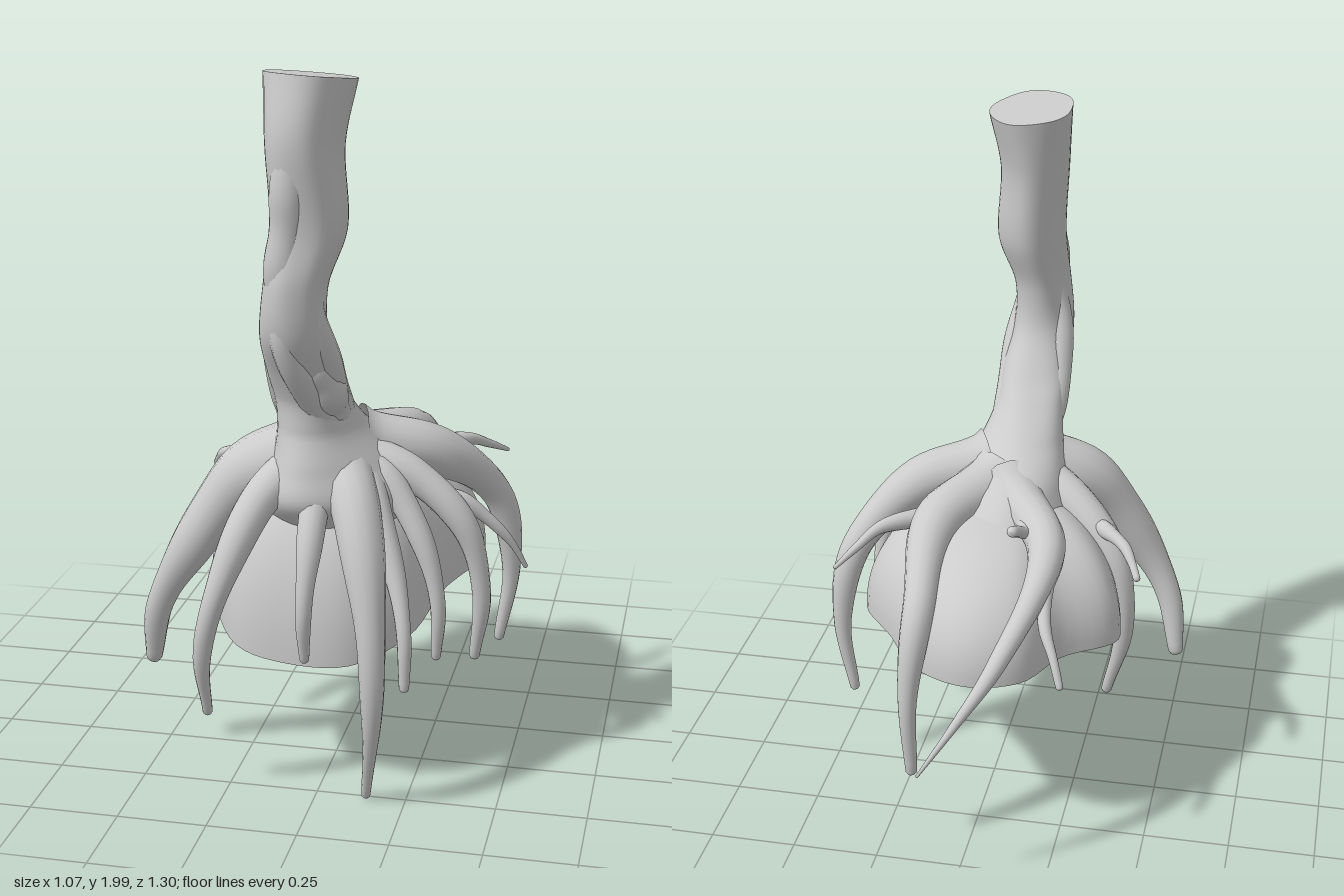
import * as THREE from 'three';

const V = (x, y, z) => new THREE.Vector3(x, y, z);
const material = new THREE.MeshStandardMaterial({ color: 0xcccccc, side: THREE.DoubleSide });

function group(name, ...children) {
  const g = new THREE.Group();
  g.name = name;
  g.add(...children);
  return g;
}

// A ring of n points, each given by its angle.
const ringOf = (n, fn) => Array.from({ length: n }, (_, j) => fn((j / n) * Math.PI * 2));

// Skin a list of closed rings (equal vertex counts) into one smooth surface.
function loft(name, rings) {
  const n = rings[0].length, idx = [];
  for (let i = 0; i < rings.length - 1; i++) {
    for (let j = 0; j < n; j++) {
      const a = i * n + j, b = i * n + ((j + 1) % n);
      idx.push(a, a + n, b, b, a + n, b + n);
    }
  }
  const g = new THREE.BufferGeometry().setFromPoints(rings.flat());
  g.setIndex(idx);
  g.computeVertexNormals();
  const mesh = new THREE.Mesh(g, material);
  mesh.name = name;
  return mesh;
}

// Flat lid closing a ring towards its centre.
function lid(name, ring) {
  const c = ring.reduce((s, p) => s.add(p), V(0, 0, 0)).divideScalar(ring.length);
  return loft(name, [1, 0.6, 0.001].map((k) => ring.map((p) => c.clone().lerp(p, k))));
}

// Tapering, slightly knotty tube through points, with a rounded tip.
function taper(name, r0, r1, points) {
  const curve = new THREE.CatmullRomCurve3(points, false, 'centripetal');
  const steps = 36, f = curve.computeFrenetFrames(steps), rings = [];
  const ring = (i, r, push) => {
    const c = curve.getPointAt(i / steps).addScaledVector(f.tangents[i], push);
    return ringOf(14, (a) => c.clone()
      .addScaledVector(f.normals[i], r * Math.cos(a)).addScaledVector(f.binormals[i], -r * Math.sin(a)));
  };
  for (let i = 0; i <= steps; i++) {
    const t = i / steps;
    rings.push(ring(i, (r0 + (r1 - r0) * Math.pow(t, 0.58)) * (1 + 0.05 * Math.sin(t * 17 + r0 * 90)), 0));
  }
  rings.push(ring(steps, r1 * 0.7, r1 * 0.5), ring(steps, 0.0005, r1 * 0.75));
  return loft(name, rings);
}

// Root: leaves the collar, arches out to an elbow, then droops to its tip.
// bend pushes the first half sideways; from overrides the collar start.
function root(name, r0, r1, elbow, tip, bend = 0, from = null) {
  const start = from ?? V(0, 0.92, 0.28).lerp(V(elbow.x, 0.92, elbow.z), 0.2);
  const side = V(elbow.z - start.z, 0, start.x - elbow.x).normalize();
  const shoulder = start.clone().lerp(elbow, 0.5).addScaledVector(side, bend);
  shoulder.y += 0.3 * Math.abs(start.y - elbow.y);
  const droop = elbow.clone().lerp(tip, 0.5);
  droop.addScaledVector(V(droop.x, 0, droop.z - 0.2).normalize(), 0.09 * (elbow.y - tip.y));
  return taper(name, r0, r1, [start, shoulder, elbow, droop, tip]);
}

// Trunk stations, bottom to top: x, y, z, radiusX, radiusZ.
const stations = [
  [0, 0.74, 0.2, 0.2, 0.24], [0, 0.84, 0.21, 0.22, 0.31], [-0.01, 0.94, 0.24, 0.17, 0.26],
  [-0.03, 1.03, 0.31, 0.12, 0.165], [-0.04, 1.12, 0.37, 0.1, 0.115], [-0.04, 1.2, 0.43, 0.1, 0.1],
  [-0.05, 1.32, 0.5, 0.09, 0.1], [-0.045, 1.45, 0.51, 0.083, 0.11], [-0.02, 1.6, 0.48, 0.1, 0.122],
  [-0.03, 1.82, 0.475, 0.1, 0.143], [-0.02, 1.985, 0.445, 0.12, 0.142],
];
const centre = new THREE.CatmullRomCurve3(stations.map(([x, y, z]) => V(x, y, z)));
const girth = new THREE.CatmullRomCurve3(stations.map(([, , , rx, rz]) => V(rx, 0, rz)));

function trunk() {
  const steps = 70, rings = [];
  for (let i = 0; i <= steps; i++) {
    const t = i / steps, c = centre.getPoint(t), r = girth.getPoint(t);
    // Twisting flutes that fade towards the slanted cut.
    rings.push(ringOf(48, (a) => {
      const k = 1 + 0.045 * (1 - t * 0.7) * Math.sin(3 * a + t * 9) + 0.02 * Math.sin(5 * a - t * 11);
      const x = r.x * k * Math.cos(a), z = r.z * k * Math.sin(a);
      return V(c.x + x, c.y + t * t * (z * 0.1 - x * 0.06), c.z + z);
    }));
  }
  return group('trunk', loft('trunkBark', rings), lid('trunkCutTop', rings[steps]));
}

// Woody strand winding up the trunk; both ends sink into the bark.
function strand(name, r0, r1, t0, t1, a0, a1) {
  const points = [0, 0.25, 0.5, 0.75, 1].map((k) => {
    const t = t0 + (t1 - t0) * k, a = a0 + (a1 - a0) * k, r = girth.getPoint(t);
    const depth = 0.35 + 0.42 * Math.sin(Math.PI * k);
    return centre.getPoint(t).add(V(r.x * depth * Math.cos(a), 0, r.z * depth * Math.sin(a)));
  });
  return taper(name, r0, r1, points);
}

// Soil mound: a dome falling from its crown to a rim that dips at the front.
function mound() {
  const outline = [
    [-0.08, 0.54], [0.1, 0.53], [0.24, 0.4], [0.3, 0.2], [0.39, -0.01], [0.27, -0.2], [0.16, -0.36],
    [0, -0.43], [-0.15, -0.38], [-0.24, -0.22], [-0.38, -0.1], [-0.36, 0.1], [-0.34, 0.3], [-0.23, 0.49],
  ].map(([x, z]) => V(x, 0.57 - 0.3 * Math.pow(Math.max(0, z + 0.15), 1.6), z));
  const rim = new THREE.CatmullRomCurve3(outline, true).getPoints(72).slice(0, 72);
  const crown = V(0, 0.92, 0.18), rings = [];
  for (let i = 0; i <= 24; i++) {
    const a = (0.005 + 0.995 * (i / 24)) * Math.PI / 2;
    const out = Math.pow(Math.sin(a), 0.85), up = Math.pow(Math.max(Math.cos(a), 0), 0.9);
    rings.push(rim.map((p) => V(
      crown.x + (p.x - crown.x) * out, p.y + (crown.y - p.y) * up, crown.z + (p.z - crown.z) * out)));
  }
  return group('soilMound', loft('moundDome', rings), lid('moundUnderside', rim));
}

export function createModel() {
  const roots = group('roots',
    // Front
    root('frontTapRoot', 0.1, 0.012, V(0.165, 0.57, 0.59), V(0.14, 0.015, 0.51)),
    root('frontMiddleRoot', 0.07, 0.014, V(-0.01, 0.7, 0.56), V(-0.02, 0.43, 0.56)),
    root('frontRightRoot', 0.085, 0.014, V(-0.25, 0.62, 0.6), V(-0.3, 0.24, 0.54)),
    // Right side
    root('rightLargeRoot', 0.13, 0.024, V(-0.39, 0.65, 0.39), V(-0.515, 0.3, 0.34)),
    root('rightSideRoot', 0.09, 0.016, V(-0.35, 0.73, 0.08), V(-0.33, 0.28, 0.1)),
    root('rightSideTwig', 0.035, 0.01, V(-0.38, 0.82, 0.02), V(-0.43, 0.76, -0.06), 0, V(-0.27, 0.84, 0.12)),
    // Back
    root('backLongRoot', 0.1, 0.004, V(-0.105, 0.69, -0.48), V(0.085, 0.41, -0.655), 0.12),
    root('backForkRoot', 0.04, 0.01, V(-0.21, 0.74, -0.34), V(-0.27, 0.6, -0.43), 0, V(-0.18, 0.86, -0.12)),
    root('backLeftRoot', 0.11, 0.016, V(0.15, 0.75, -0.34), V(0.16, 0.26, -0.42), -0.07),
    root('backUpturnedTwig', 0.04, 0.015, V(-0.11, 0.91, -0.12), V(-0.09, 0.95, -0.2), 0, V(-0.05, 0.88, 0.1)),
    // Left side
    root('leftBackRoot', 0.06, 0.006, V(0.32, 0.87, -0.1), V(0.42, 0.8, -0.235), 0, V(0.1, 0.86, 0.1)),
    root('leftLargeRoot', 0.11, 0.014, V(0.42, 0.75, 0.01), V(0.43, 0.28, -0.04), -0.03, V(0.06, 0.95, 0.23)),
    root('leftFrontRoot', 0.075, 0.016, V(0.37, 0.75, 0.3), V(0.4, 0.35, 0.26)),
    root('leftFrontTwig', 0.04, 0.006, V(0.43, 0.75, 0.24), V(0.53, 0.6, 0.19), 0, V(0.28, 0.82, 0.28)),
    root('leftInnerRoot', 0.065, 0.014, V(0.27, 0.72, 0.38), V(0.31, 0.39, 0.38)),
    root('leftLowRoot', 0.06, 0.014, V(0.21, 0.67, 0.48), V(0.25, 0.36, 0.54)),
  );
  const strands = group('trunkStrands',
    strand('frontStrand', 0.055, 0.035, 0.25, 0.72, 0.6, 2.3),
    strand('leftStrand', 0.05, 0.035, 0.25, 0.8, -0.2, 0.7),
    strand('rightStrand', 0.05, 0.035, 0.25, 0.78, 2.9, 3.9),
    strand('upperStrand', 0.055, 0.045, 0.68, 0.95, 2.3, 1.7),
    strand('trunkKnob', 0.065, 0.045, 0.34, 0.55, 0.4, 0.9),
  );
  return group('treeWithRoots', trunk(), mound(), roots, strands);
}
